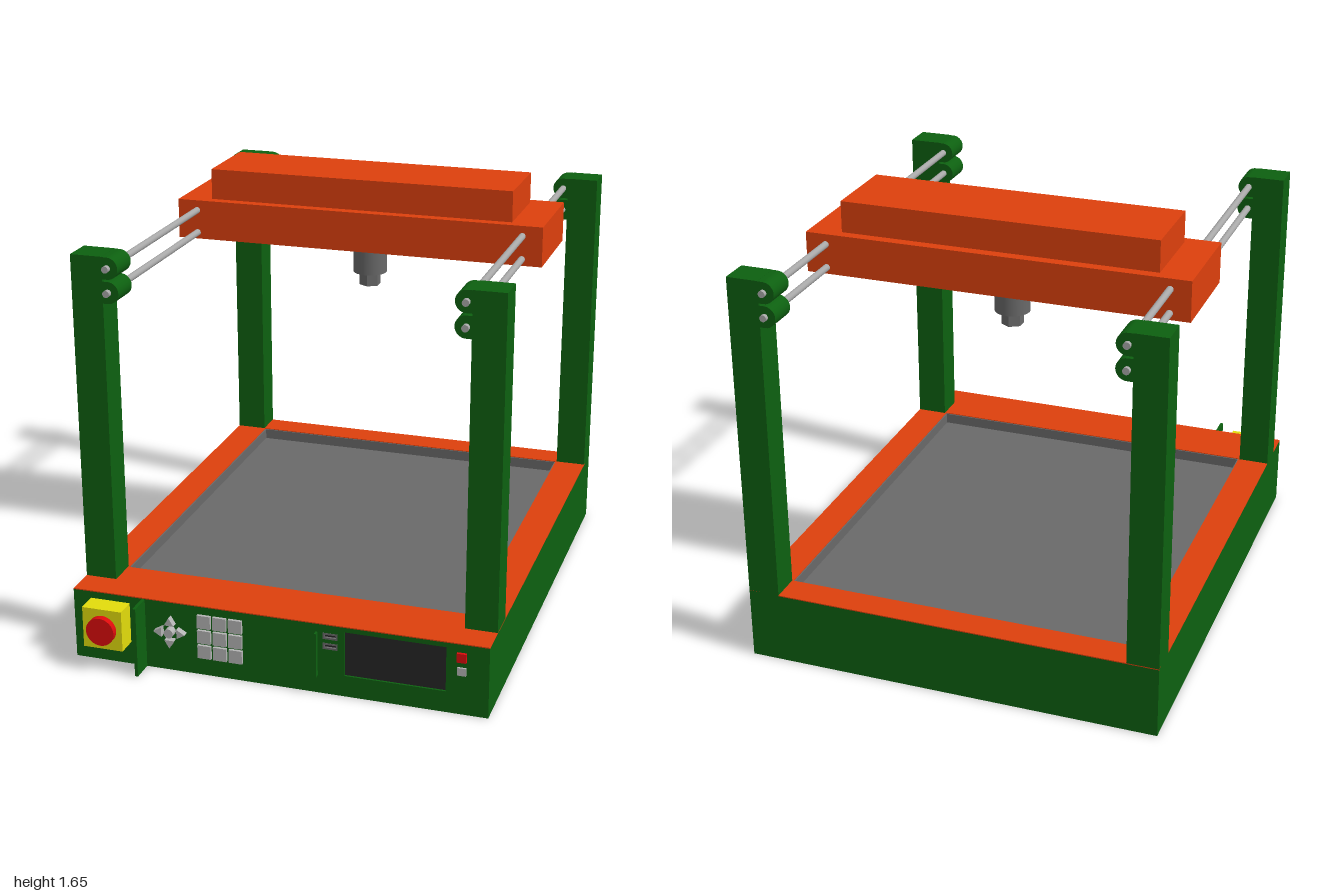
import * as THREE from 'three';

const mat = (color) => new THREE.MeshStandardMaterial({ color });
const GREEN = mat(0x0d6010), ORANGE = mat(0xdd400d), GREY = mat(0x696969), STEEL = mat(0xa8a8a8);
const KEY = mat(0xb4b4b4), DARK = mat(0x262626), RED = mat(0xdd0c0c), YELLOW = mat(0xe2dc0c);

export function createModel() {
  const root = new THREE.Group();

  const add = (name, geometry, material, parent = root) => {
    const mesh = new THREE.Mesh(geometry, material);
    mesh.name = name;
    parent.add(mesh);
    return mesh;
  };
  const group = (name) => {
    const g = new THREE.Group();
    g.name = name;
    root.add(g);
    return g;
  };
  // box given by its limits on each axis
  const box = (name, [x0, x1], [y0, y1], [z0, z1], material, parent) => {
    const mesh = add(name, new THREE.BoxGeometry(x1 - x0, y1 - y0, z1 - z0), material, parent);
    mesh.position.set((x0 + x1) / 2, (y0 + y1) / 2, (z0 + z1) / 2);
    return mesh;
  };
  // cylinder along z
  const rod = (name, x, y, z0, z1, r, material, parent, sides = 32) => {
    const geo = new THREE.CylinderGeometry(r, r, z1 - z0, sides).rotateX(Math.PI / 2);
    const mesh = add(name, geo, material, parent);
    mesh.position.set(x, y, (z0 + z1) / 2);
    return mesh;
  };
  const trace = (path, x0, x1, y0, y1) =>
    path.moveTo(x0, y0).lineTo(x1, y0).lineTo(x1, y1).lineTo(x0, y1).closePath();
  // rectangular plate with rectangular holes, extruded along z
  const plate = (outer, holes, depth) => {
    const shape = new THREE.Shape();
    trace(shape, ...outer);
    for (const h of holes) {
      const path = new THREE.Path();
      trace(path, ...h);
      shape.holes.push(path);
    }
    return new THREE.ExtrudeGeometry(shape, { depth, bevelEnabled: false });
  };
  // same, lying flat with the depth pointing up
  const flatPlate = (outer, holes, depth) => plate(outer, holes, depth).rotateX(-Math.PI / 2);

  // base: solid lower block, walls around the recessed bed, orange top
  const base = group('base');
  const rim = [-0.795, 0.795, -0.88, 0.985], opening = [-0.67, 0.67, -0.665, 0.87];
  box('baseBlock', [-0.795, 0.795], [0, 0.23], [-0.985, 0.88], GREEN, base);
  box('bed', [-0.67, 0.67], [0.225, 0.235], [-0.87, 0.665], GREY, base);
  add('baseWalls', flatPlate(rim, [opening], 0.046), GREEN, base).position.y = 0.23;
  add('topFrame', flatPlate([-0.795, 0.795, -0.895, 0.985], [opening], 0.004), ORANGE, base).position.y = 0.276;
  const lining = flatPlate(opening, [[-0.665, 0.665, -0.66, 0.865]], 0.042);
  add('bedLining', lining, GREY, base).position.y = 0.235;

  // front panel with openings for the screen and the two ports
  const panel = group('controlPanel');
  const screen = [0.262, 0.638, 0.083, 0.258];
  const ports = [[0.18, 0.237, 0.22, 0.245], [0.18, 0.237, 0.18, 0.205]];
  add('panelPlate', plate([-0.795, 0.795, 0, 0.276], [screen, ...ports], 0.015), GREEN, panel).position.z = 0.88;
  box('screen', [0.262, 0.638], [0.083, 0.258], [0.878, 0.887], DARK, panel);
  for (const [x0, x1, y0, y1] of ports) {
    const inner = [x0 + 0.007, x1 - 0.007, y0 + 0.007, y1 - 0.007];
    add('portFrame', plate([x0, x1, y0, y1], [inner], 0.016), GREY, panel).position.z = 0.88;
    box('portTongue', [x0 + 0.007, x1 - 0.007], [y0 + 0.007, y1 - 0.007], [0.878, 0.887], DARK, panel);
  }
  box('cardSlot', [0.153, 0.161], [0.07, 0.245], [0.89, 0.915], GREEN, panel);
  box('guardFin', [-0.521, -0.509], [0, 0.275], [0.89, 0.982], GREEN, panel);
  box('stopHousing', [-0.725, -0.57], [0.09, 0.25], [0.89, 0.975], YELLOW, panel);
  rod('stopButton', -0.647, 0.17, 0.97, 1, 0.055, RED, panel, 48);
  box('redButton', [0.678, 0.713], [0.21, 0.245], [0.89, 0.907], RED, panel);
  box('greyButton', [0.68, 0.712], [0.157, 0.187], [0.89, 0.903], KEY, panel);

  // keypad
  for (let i = 0; i < 9; i++) {
    const x = -0.275 + (i % 3) * 0.061, y = 0.22 - Math.floor(i / 3) * 0.061;
    box('key', [x - 0.026, x + 0.026], [y - 0.026, y + 0.026], [0.89, 0.907], KEY, panel);
  }

  // arrow keys around a round centre key
  rod('centreKey', -0.407, 0.163, 0.89, 0.925, 0.018, KEY, panel);
  const arrow = new THREE.Shape([[-0.019, 0.03], [0.019, 0.03], [0, 0.062]].map((p) => new THREE.Vector2(...p)));
  for (let i = 0; i < 4; i++) {
    const mesh = add('arrowKey', new THREE.ExtrudeGeometry(arrow, { depth: 0.03, bevelEnabled: false }), KEY, panel);
    mesh.position.set(-0.407, 0.163, 0.89);
    mesh.rotation.z = i * Math.PI / 2;
  }

  // corner posts with rod clamps, and the guide rods
  for (const side of [-1, 1]) {
    const span = (a, b) => (side > 0 ? [a, b] : [-b, -a]);
    for (const [end, z] of [['front', [0.66, 0.778]], ['back', [-0.985, -0.87]]]) {
      const post = group(end + (side > 0 ? 'Left' : 'Right') + 'Post');
      box('post', span(0.675, 0.795), [0.275, 1.537], z, GREEN, post);
      for (const y of [1.495, 1.405]) {
        rod('clampRound', side * 0.655, y, z[0], z[1], 0.041, GREEN, post);
        box('clampBlock', span(0.655, 0.69), [y - 0.041, y + 0.041], z, GREEN, post);
      }
    }
    for (const y of [1.495, 1.405]) rod('guideRod', side * 0.655, y, -1, 0.797, 0.013, STEEL, root, 24);
  }

  // gantry with a slotted underside
  const gantry = group('gantry');
  const slotted = flatPlate([-0.733, 0.733, 0.085, 0.485], [[-0.63, 0.63, 0.245, 0.325]], 0.1);
  add('gantryBody', slotted, ORANGE, gantry).position.y = 1.38;
  box('gantryTop', [-0.733, 0.733], [1.48, 1.535], [-0.485, -0.085], ORANGE, gantry);
  box('gantryCover', [-0.606, 0.606], [1.53, 1.655], [-0.445, -0.125], ORANGE, gantry);
  const rail = add('crossRail', new THREE.CylinderGeometry(0.018, 0.018, 1.27, 24), STEEL, gantry);
  rail.rotation.z = Math.PI / 2;
  rail.position.set(0, 1.42, -0.285);

  // spindle: round motor on a six-sided shaft
  const spindle = group('spindle');
  spindle.position.set(0, 0, -0.283);
  add('motor', new THREE.CylinderGeometry(0.067, 0.067, 0.122, 48), GREY, spindle).position.y = 1.309;
  const hex = new THREE.CylinderGeometry(0.043, 0.043, 0.225, 6).toNonIndexed();
  hex.computeVertexNormals();
  add('shaft', hex, GREY, spindle).position.y = 1.3075;

  return root;
}
